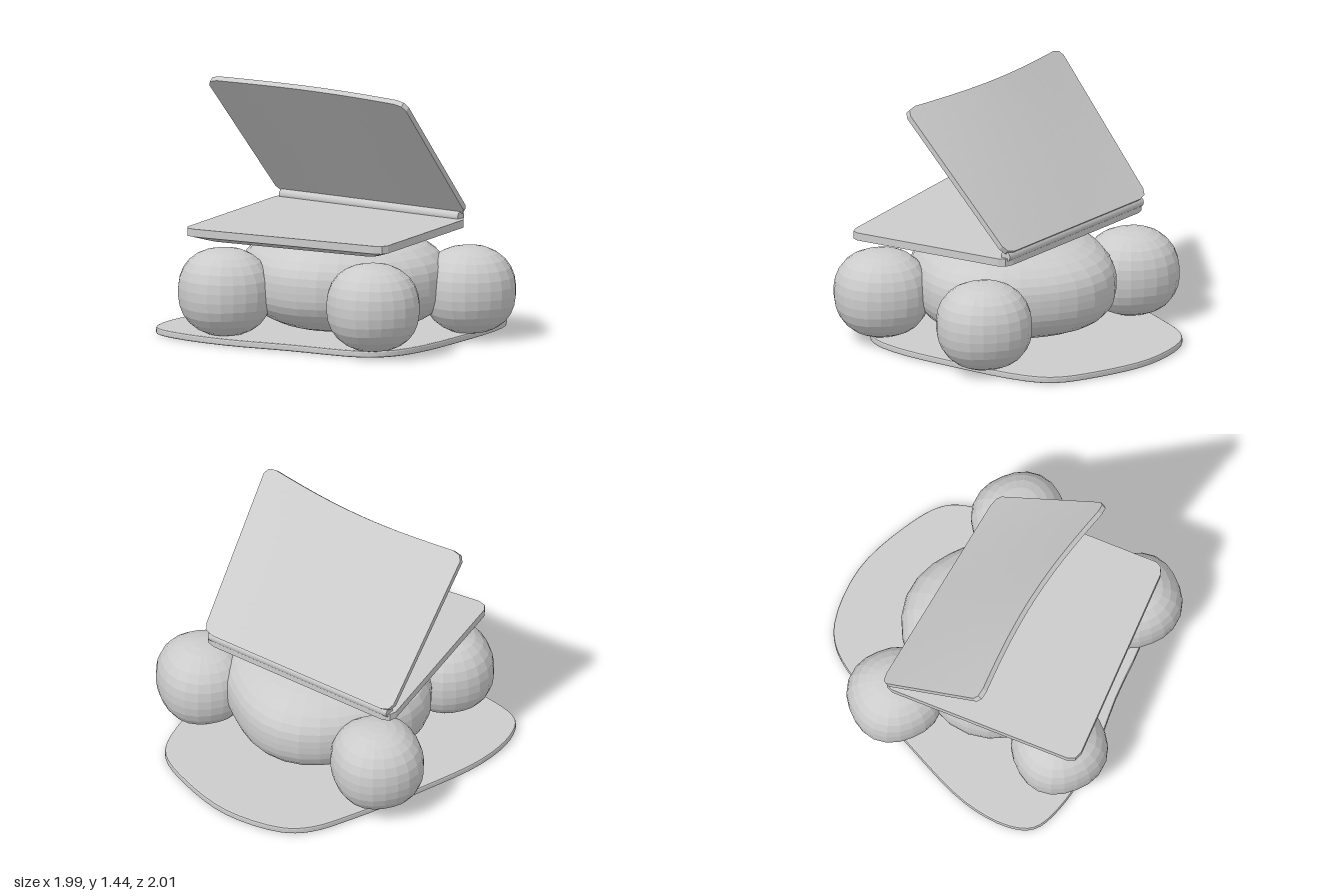
import * as THREE from 'three';

const grey = (flatShading) => new THREE.MeshStandardMaterial({ color: 0xcccccc, flatShading });

// Slightly squared ball: each sphere vertex is pushed onto a rounder-than-box surface
function squaredBall(name, center, radii, power, detail) {
  const geo = new THREE.SphereGeometry(1, detail, Math.round(detail * 0.7));
  const p = geo.attributes.position;
  for (let i = 0; i < p.count; i++) {
    const v = new THREE.Vector3().fromBufferAttribute(p, i);
    const n = (Math.abs(v.x) ** power + Math.abs(v.y) ** power + Math.abs(v.z) ** power) ** (1 / power);
    p.setXYZ(i, v.x / n * radii[0], v.y / n * radii[1], v.z / n * radii[2]);
  }
  geo.computeVertexNormals();
  const mesh = new THREE.Mesh(geo, grey(true));
  mesh.name = name;
  mesh.position.set(...center);
  return mesh;
}

// Panel spanning four corners; place(u, v, w) maps u, v, w in 0..1 to a point
function panel(name, layers, place) {
  const geo = new THREE.BoxGeometry(1, 1, 1, 20, 20, layers);
  const p = geo.attributes.position;
  for (let i = 0; i < p.count; i++) {
    let u = p.getX(i), v = p.getY(i);
    // Soften the four corners
    const du = Math.max(0, Math.abs(u) - 0.45), dv = Math.max(0, Math.abs(v) - 0.45);
    const m = Math.max(du, dv), d = Math.hypot(du, dv);
    if (d > 0) {
      u = Math.sign(u) * (Math.abs(u) - du + du * m / d);
      v = Math.sign(v) * (Math.abs(v) - dv + dv * m / d);
    }
    const q = place(u + 0.5, v + 0.5, p.getZ(i) + 0.5);
    p.setXYZ(i, q.x, q.y, q.z);
  }
  const mesh = new THREE.Mesh(geo, grey(true));
  mesh.name = name;
  return mesh;
}

function bilinear([a, b, c, d], u, v) {
  const low = a.clone().lerp(b, u), high = c.clone().lerp(d, u);
  return low.lerp(high, v);
}

const vec = (x, y, z) => new THREE.Vector3(x, y, z);

export function createModel() {
  const model = new THREE.Group();

  // Base plate: irregular smooth outline given as x, z
  const outline = [
    [0.42, -0.89], [0.58, -0.84], [0.82, -0.59], [0.95, -0.25], [0.98, 0.0], [0.9, 0.16],
    [0.56, 0.47], [0.22, 0.72], [0.03, 0.79], [-0.13, 0.76], [-0.46, 0.43], [-0.75, 0.15],
    [-0.94, -0.13], [-0.99, -0.3], [-0.92, -0.43], [-0.7, -0.59], [-0.3, -0.73], [0.15, -0.85],
  ];
  const curve = new THREE.CatmullRomCurve3(outline.map(([x, z]) => vec(x, -z, 0)), true);
  const shape = new THREE.Shape(curve.getPoints(72).slice(0, -1).map((q) => new THREE.Vector2(q.x, q.y)));
  const baseGeo = new THREE.ExtrudeGeometry(shape, {
    depth: 0.02, bevelThickness: 0.01, bevelSize: 0.01, bevelSegments: 2,
  });
  baseGeo.rotateX(-Math.PI / 2).translate(0, 0.01, 0);
  const base = new THREE.Mesh(baseGeo, grey(false));
  base.name = 'basePlate';
  model.add(base);

  // Rounded body and the four balls around it
  model.add(squaredBall('body', [0.03, 0.32, -0.02], [0.57, 0.28, 0.57], 2.6, 32));
  const balls = {
    leftBall: [0.66, 0.275, 0.33], rightBall: [-0.69, 0.28, -0.01],
    frontBall: [-0.05, 0.28, 0.73], backBall: [-0.03, 0.28, -0.74],
  };
  for (const [name, center] of Object.entries(balls)) {
    model.add(squaredBall(name, center, [0.26, 0.25, 0.27], 2.3, 22));
  }

  // Flat deck with an undercut rim
  const hingeBack = vec(-0.08, 0.66, -0.84), hingeFront = vec(0.69, 0.66, 0.21);
  const deck = [hingeBack, hingeFront, vec(-0.94, 0.66, -0.01), vec(-0.05, 0.66, 0.92)];
  model.add(panel('deck', 2, (u, v, w) => {
    const inset = w < 0.25 ? 0.84 : 1;
    const q = bilinear(deck, 0.5 + (u - 0.5) * inset, 0.5 + (v - 0.5) * inset);
    q.y = w < 0.25 ? 0.58 : w < 0.75 ? 0.615 : 0.66;
    return q;
  }));

  // Hinge bar joining deck and lid
  const along = hingeFront.clone().sub(hingeBack);
  const hinge = new THREE.Mesh(new THREE.CylinderGeometry(0.032, 0.032, along.length() - 0.06, 12), grey(false));
  hinge.name = 'hinge';
  hinge.position.copy(hingeBack).lerp(hingeFront, 0.5).add(vec(-0.02, 0.01, 0.015));
  hinge.quaternion.setFromUnitVectors(vec(0, 1, 0), along.clone().normalize());
  model.add(hinge);

  // Lid leaning over the deck, its free edge bowed back in the middle
  const lid = [vec(-0.08, 0.69, -0.84), vec(0.69, 0.69, 0.21), vec(-0.64, 1.43, -0.48), vec(0.16, 1.43, 0.66)];
  const normal = lid[1].clone().sub(lid[0]).cross(lid[2].clone().sub(lid[0])).normalize();
  const back = vec(0.81, 0, -0.59);
  model.add(panel('lid', 1, (u, v, w) => bilinear(lid, u, v)
    .addScaledVector(normal, (w - 0.5) * 0.032)
    .addScaledVector(back, 0.065 * v * Math.sin(Math.PI * u))));

  // Correct the facet orientation of the mapped panels where the mapping mirrors them
  for (const mesh of model.children.filter((m) => m.name === 'deck' || m.name === 'lid')) {
    const geo = mesh.geometry, p = geo.attributes.position, index = geo.index;
    let volume = 0;
    const [a, b, c] = [vec(), vec(), vec()];
    geo.computeBoundingBox();
    const mid = geo.boundingBox.getCenter(vec());
    for (let i = 0; i < index.count; i += 3) {
      [a, b, c].forEach((t, k) => t.fromBufferAttribute(p, index.getX(i + k)).sub(mid));
      volume += a.dot(b.cross(c));
    }
    if (volume < 0) index.array.reverse();
    geo.computeVertexNormals();
  }
  return model;
}
